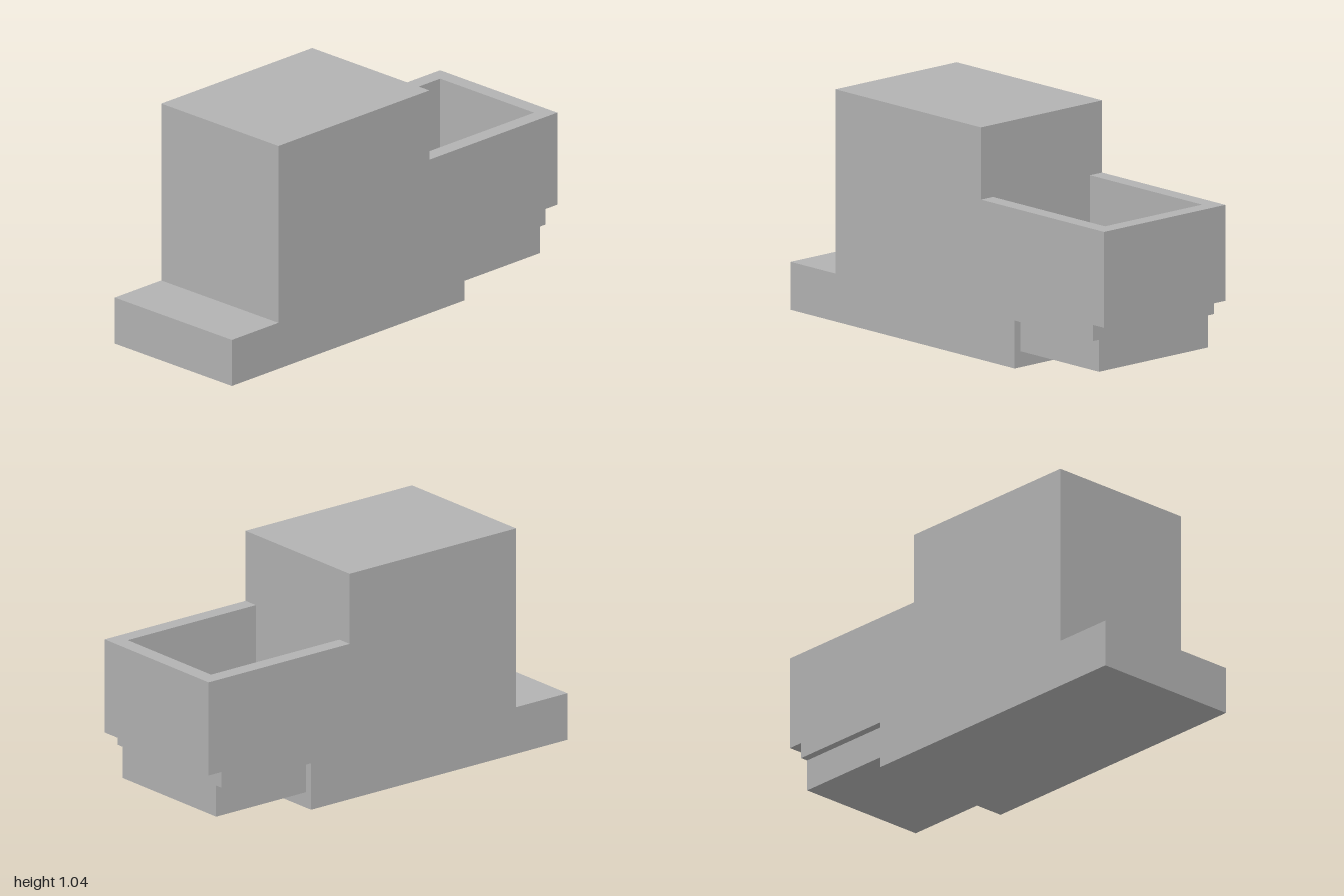
import * as THREE from 'three';

const WIDTH = 0.714;

function outline(points) {
  return new THREE.Shape(points.map(([x, y]) => new THREE.Vector2(x, y)));
}

function extrude(points, depth) {
  return new THREE.ExtrudeGeometry(outline(points), { depth, bevelEnabled: false });
}

export function createModel() {
  const model = new THREE.Group();
  const grey = new THREE.MeshStandardMaterial({ color: 0xb2b2b2 });
  grey.name = 'plain grey';

  function add(name, geometry) {
    const mesh = new THREE.Mesh(geometry, grey);
    mesh.name = name;
    model.add(mesh);
  }

  // Body: side profile (z, y) with front step, tower and rear floor plate
  const body = extrude([
    [1, 0], [1, 0.214], [0.714, 0.214], [0.714, 1.036],
    [-0.214, 1.036], [-0.214, 0.286], [-0.929, 0.286],
    [-0.929, 0.214], [-0.429, 0.214], [-0.429, 0],
  ], WIDTH);
  body.translate(0, 0, -WIDTH / 2).rotateY(-Math.PI / 2);
  add('body', body);

  // Open rear tray: U-shaped wall (x, z) that meets the tower
  const o = WIDTH / 2, i = 0.286;
  const walls = extrude([
    [-o, -0.214], [-o, -1], [o, -1], [o, -0.214],
    [i, -0.214], [i, -0.929], [-i, -0.929], [-i, -0.214],
  ], 0.428);
  walls.rotateX(Math.PI / 2).translate(0, 0.714, 0);
  add('trayWalls', walls);

  // Narrower block hanging below the tray
  const block = new THREE.BoxGeometry(0.643, 0.143, 0.5);
  block.translate(0, 0.1425, -0.679);
  add('underBlock', block);

  return model;
}
